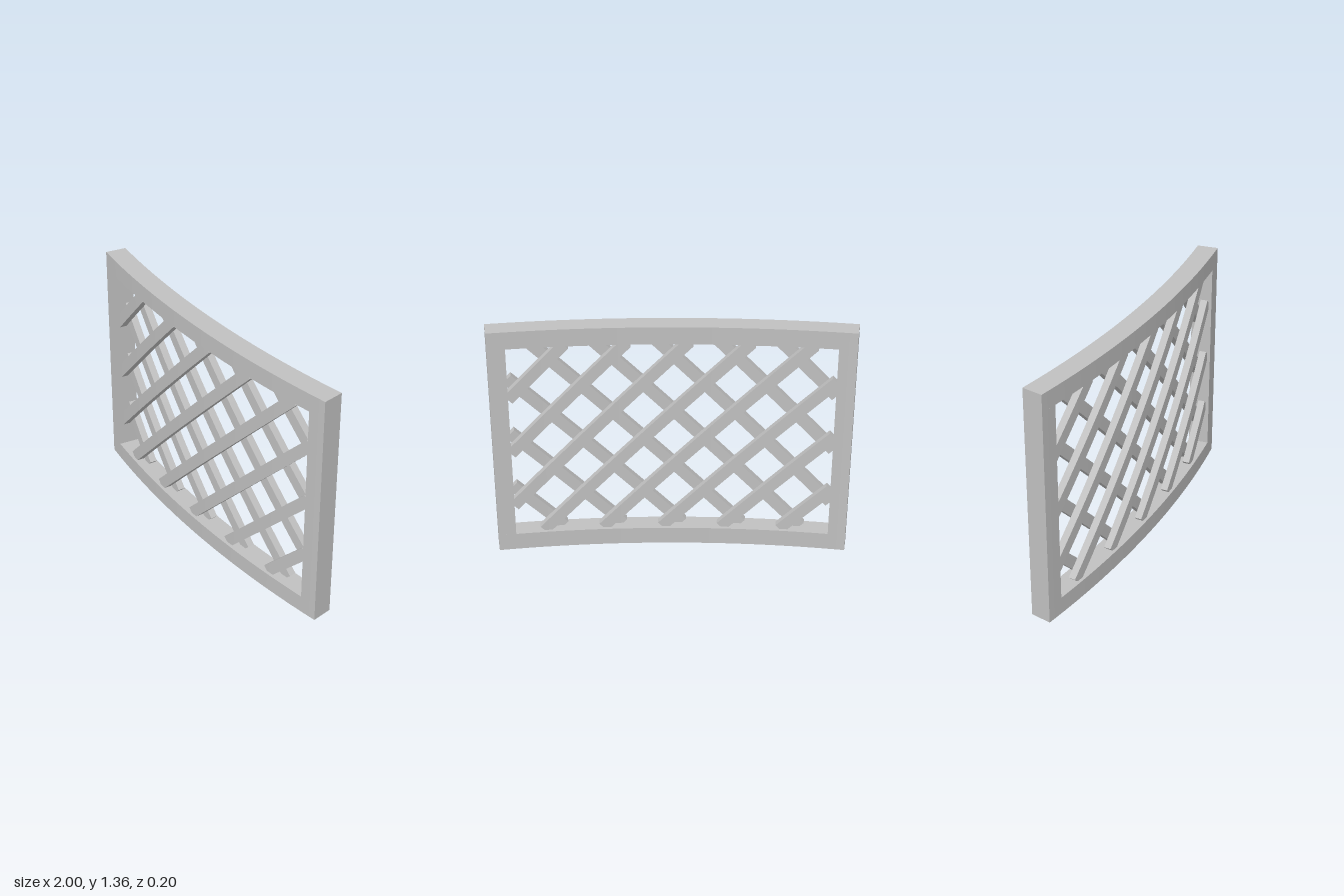
import * as THREE from 'three';

const R = 6.23;             // radius of the panel's middle surface
const H = 1.36;             // overall height
const HALF = 0.995;         // half arc length of the panel
const RIM = 0.1;            // width of the frame members
const DEPTH = 0.12;

// Wraps a flat geometry (x along the arc, z outward) onto the curved panel
function bend(geometry) {
  const p = geometry.attributes.position;
  const n = geometry.attributes.normal;
  for (let i = 0; i < p.count; i++) {
    const a = p.getX(i) / R;
    const r = R + p.getZ(i);
    const s = Math.sin(a), c = Math.cos(a);
    p.setXYZ(i, r * s, p.getY(i), r * c - R + 0.04);
    const nx = n.getX(i), nz = n.getZ(i);
    n.setXYZ(i, nx * c + nz * s, n.getY(i), nz * c - nx * s);
  }
  return geometry;
}

export function createModel() {
  const model = new THREE.Group();
  model.name = 'curvedLatticePanel';
  const grey = new THREE.MeshStandardMaterial({ color: 0xc0c0c0 });
  grey.name = 'lightGrey';

  function add(name, geometry, parent) {
    const mesh = new THREE.Mesh(bend(geometry), grey);
    mesh.name = name;
    parent.add(mesh);
  }

  // Frame: two curved rails and two posts
  const frame = new THREE.Group();
  frame.name = 'frame';
  model.add(frame);
  for (const [name, y] of [['bottomRail', RIM / 2], ['topRail', H - RIM / 2]]) {
    add(name, new THREE.BoxGeometry(2 * HALF, RIM, DEPTH, 32, 1, 1).translate(0, y, 0), frame);
  }
  for (const [name, side] of [['rightPost', -1], ['leftPost', 1]]) {
    add(name, new THREE.BoxGeometry(RIM, H - 2 * RIM, DEPTH, 2, 1, 1)
      .translate(side * (HALF - RIM / 2), H / 2, 0), frame);
  }

  // Lattice: two layers of diagonal slats, rising ones in front
  const inner = HALF - RIM, low = RIM, high = H - RIM;
  const pitch = 0.337, width = 0.065, thick = 0.041;
  for (const [layer, dir, z] of [['frontSlat', 1, 0.0215], ['backSlat', -1, -0.0195]]) {
    const group = new THREE.Group();
    group.name = layer + 's';
    model.add(group);
    for (let k = -2; k <= 5; k++) {
      // centre line y = x + c, cut where it meets the opening
      const c = 0.157 + pitch * k;
      const x0 = Math.max(-inner, low - c);
      const x1 = Math.min(inner, high - c);
      const length = (x1 - x0) * Math.SQRT2;
      const mid = (x0 + x1) / 2;
      const slat = new THREE.BoxGeometry(length, width, thick, Math.max(2, Math.ceil(length * 10)), 1, 1)
        .rotateZ(dir * Math.PI / 4)
        .translate(dir * mid, mid + c, z);
      add(layer, slat, group);
    }
  }
  return model;
}
